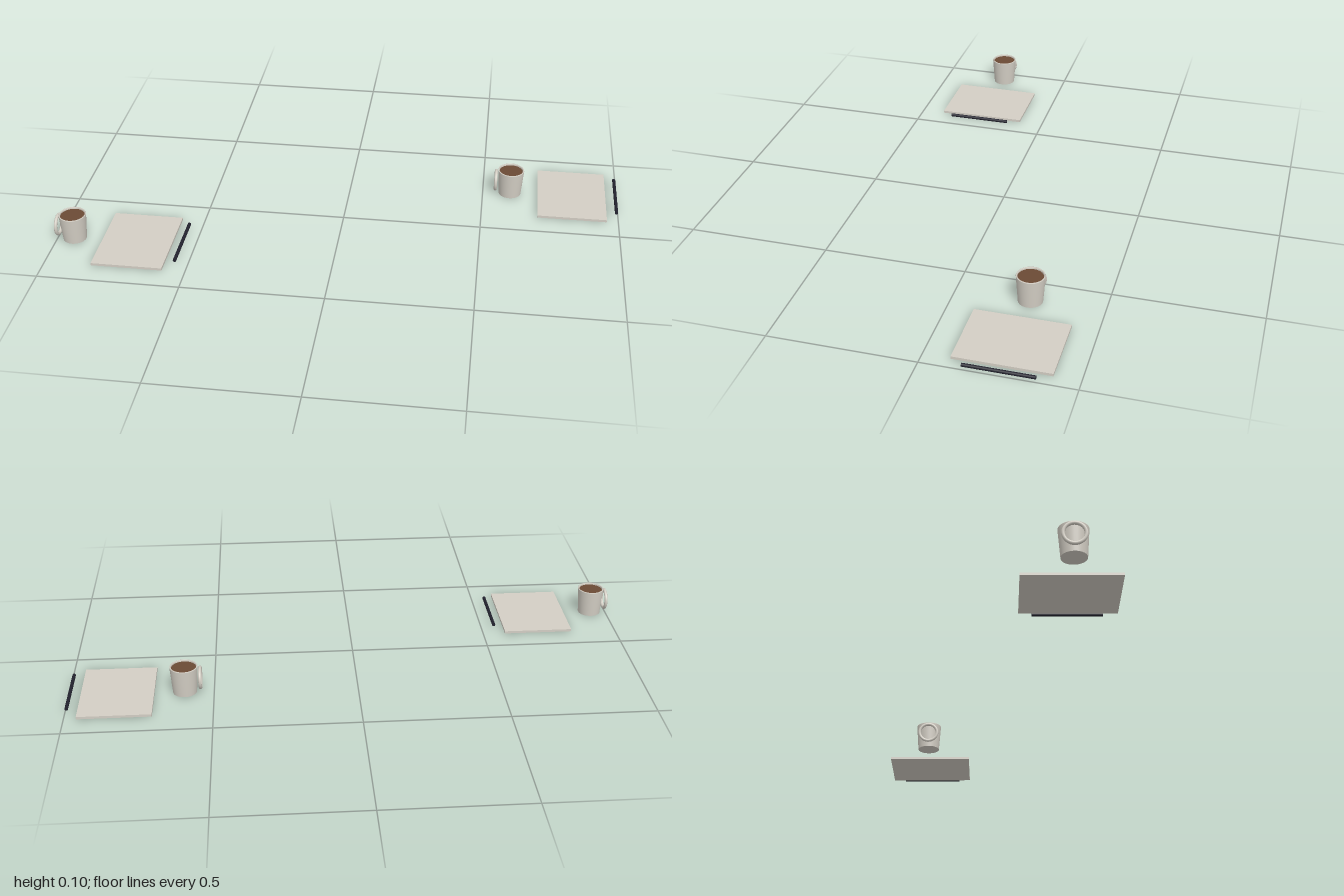
import * as THREE from 'three';

const mat = (color, extra = {}) => new THREE.MeshStandardMaterial({ color, ...extra });

function part(name, geometry, material, x, y, z) {
  const mesh = new THREE.Mesh(geometry, material);
  mesh.name = name;
  mesh.position.set(x, y, z);
  return mesh;
}

export function createModel() {
  const model = new THREE.Group();
  model.name = 'deskSets';
  const ceramic = mat(0xd3cec4, { side: THREE.DoubleSide });
  const paper = mat(0xd3cec4);
  const ink = mat(0x22222e);
  const coffeeBrown = mat(0x6b4a35);

  // Tapered cup wall: base, outer side, rim, inner side down below the coffee
  const cupProfile = [
    [0, 0], [0.0415, 0], [0.0415, 0], [0.0485, 0.098], [0.0475, 0.1],
    [0.0445, 0.1], [0.0435, 0.098], [0.0425, 0.086],
  ].map(([r, y]) => new THREE.Vector2(r, y));
  const cupGeo = new THREE.LatheGeometry(cupProfile, 32);
  const coffeeGeo = new THREE.CircleGeometry(0.0435, 32).rotateX(-Math.PI / 2);
  const handleGeo = new THREE.TorusGeometry(0.035, 0.006, 10, 32).rotateY(Math.PI / 2);
  const padGeo = new THREE.BoxGeometry(0.252, 0.009, 0.322);
  const penGeo = new THREE.CylinderGeometry(0.006, 0.006, 0.232, 16).rotateX(Math.PI / 2);

  // Two identical place settings, each measured from its notepad centre
  [[-0.708, 0.252], [0.832, -0.252]].forEach(([x, z]) => {
    const set = new THREE.Group();
    set.name = x < 0 ? 'rightSet' : 'leftSet';
    set.position.set(x, 0, z);

    const mug = new THREE.Group();
    mug.name = 'mug';
    mug.position.x = -0.231;
    mug.add(
      part('cup', cupGeo, ceramic, 0, 0, 0),
      part('coffee', coffeeGeo, coffeeBrown, 0, 0.094, 0),
      part('handle', handleGeo, ceramic, -0.055, 0.053, 0),
    );
    set.add(
      mug,
      part('notepad', padGeo, paper, 0, 0.0045, 0),
      part('pen', penGeo, ink, 0.162, 0.0145, 0),
    );
    model.add(set);
  });
  return model;
}
